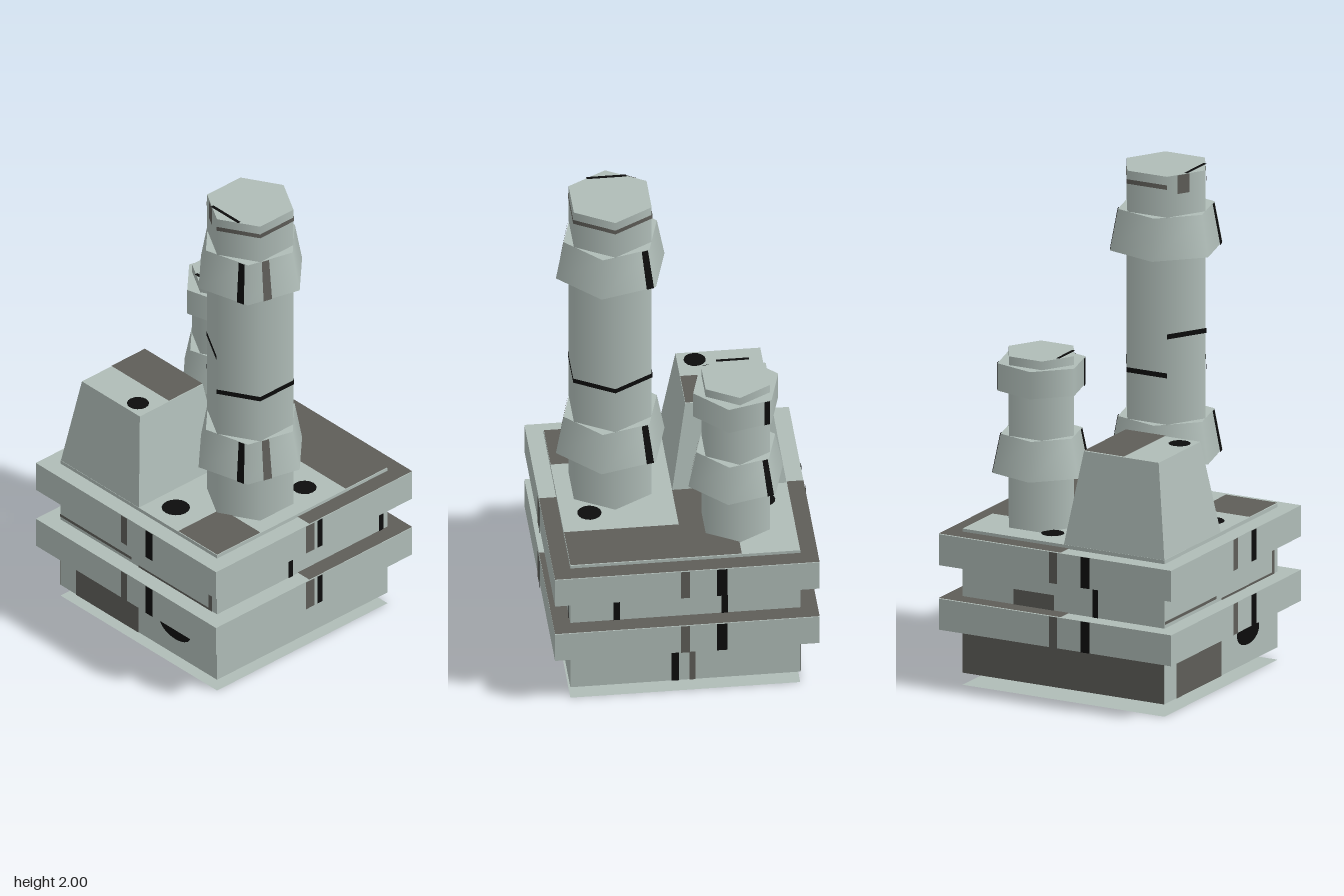
import * as THREE from 'three';

const mat = (name, color, side = THREE.FrontSide) => {
  const m = new THREE.MeshStandardMaterial({ color, side });
  m.name = name;
  return m;
};

export function createModel() {
  const root = new THREE.Group();
  root.name = 'factory';
  const light = mat('paleConcrete', 0xafbcb7, THREE.DoubleSide);
  const dark = mat('darkGrey', 0x5e5d58, THREE.DoubleSide);
  const black = mat('black', 0x0c0c0c, THREE.DoubleSide);

  const add = (parent, name, geo, m, x = 0, y = 0, z = 0) => {
    const mesh = new THREE.Mesh(geo, m);
    mesh.name = name;
    mesh.position.set(x, y, z);
    parent.add(mesh);
    return mesh;
  };
  const block = (name, w, y0, y1, m = light) =>
    add(root, name, new THREE.BoxGeometry(w, y1 - y0, w), m, 0, (y0 + y1) / 2, 0);
  // horizontal painted panel
  const floorPanel = (name, x0, x1, z0, z1, y, m) =>
    add(root, name, new THREE.PlaneGeometry(x1 - x0, z1 - z0).rotateX(-Math.PI / 2), m,
      (x0 + x1) / 2, y, (z0 + z1) / 2);
  const spot = (name, r, x, y, z) =>
    add(root, name, new THREE.CircleGeometry(r, 16).rotateX(-Math.PI / 2), black, x, y, z);

  // stepped building
  add(root, 'groundPlate', new THREE.PlaneGeometry(0.895, 0.895).rotateX(-Math.PI / 2), light);
  block('lowerWall', 0.895, 0.05, 0.23);
  block('lowerLedge', 1.03, 0.23, 0.355);
  block('upperWall', 0.895, 0.355, 0.49);
  block('upperLedge', 1.03, 0.49, 0.615);
  block('roofDeck', 0.895, 0.615, 0.63);

  // dark rear half of each ledge top
  for (const y of [0.358, 0.618]) {
    floorPanel('ledgeRear', -0.515, 0.515, -0.515, -0.448, y, dark);
    for (const s of [-1, 1]) {
      const a = s * 0.448, b = s * 0.515;
      floorPanel('ledgeSide', Math.min(a, b), Math.max(a, b), -0.448, 0.025, y, dark);
    }
  }
  // roof paint
  floorPanel('roofPaintMiddle', -0.22, 0, -0.447, 0, 0.633, dark);
  floorPanel('roofPaintRear', 0, 0.447, -0.447, -0.228, 0.633, dark);
  floorPanel('roofPaintCorner', 0.225, 0.447, 0.22, 0.447, 0.633, dark);
  spot('roofSpot', 0.055, 0.1, 0.635, 0.345);
  spot('roofSpot', 0.047, 0.335, 0.635, -0.115);
  spot('roofSpot', 0.045, -0.345, 0.635, -0.105);

  // painted wall details, one group per face: front, +x, rear, -x
  for (let i = 0; i < 4; i++) {
    const face = new THREE.Group();
    face.name = 'wallPaint' + i;
    face.rotation.y = i * Math.PI / 2;
    root.add(face);
    const paint = (name, u0, u1, y0, y1, d, m) =>
      add(face, name, new THREE.PlaneGeometry(u1 - u0, y1 - y0), m, (u0 + u1) / 2, (y0 + y1) / 2, d);
    const [g0, g1, b0, b1] = i === 1 ? [-0.045, 0, 0.015, 0.042] : [-0.025, 0.01, 0.115, 0.155];
    for (const y of [0.23, 0.49]) {
      paint('ledgeGreyStripe', g0, g1, y, y + 0.125, 0.518, dark);
      paint('ledgeBlackStripe', b0, b1, y, y + 0.125, 0.518, black);
    }
    if (i === 0) {
      paint('door', -0.355, 0, 0.05, 0.23, 0.45, dark);
      add(face, 'vent', new THREE.CircleGeometry(0.052, 20).scale(1.7, 1, 1), black, 0.21, 0.176, 0.45);
      paint('wallLine', -0.447, -0.04, 0.37, 0.382, 0.45, dark);
      paint('wallLine', 0, 0.42, 0.355, 0.364, 0.45, dark);
      paint('wallStripe', -0.058, -0.036, 0.455, 0.49, 0.45, black);
      paint('wallStripe', 0.4, 0.42, 0.36, 0.49, 0.45, dark);
    } else if (i === 3) {
      paint('darkWall', -0.447, 0.447, 0.05, 0.23, 0.45, dark);
      paint('wallPatch', -0.22, -0.04, 0.355, 0.42, 0.45, dark);
      paint('wallStripe', 0.13, 0.155, 0.355, 0.49, 0.45, black);
    } else {
      paint('wallStripe', i === 1 ? -0.075 : -0.28, i === 1 ? -0.052 : -0.255, 0.355, 0.49, 0.45, black);
      paint('wallStripe', i === 1 ? 0.4 : 0.14, i === 1 ? 0.425 : 0.165, 0.355, 0.49, 0.45, black);
      if (i === 2) {
        paint('lowerStripe', -0.055, -0.025, 0.05, 0.23, 0.45, black);
        paint('lowerStripe', 0.015, 0.04, 0.05, 0.23, 0.45, dark);
      }
    }
  }

  // tapered tower on the front corner
  const towerGeo = new THREE.BoxGeometry(0.447, 0.375, 0.447);
  const p = towerGeo.attributes.position;
  for (let i = 0; i < p.count; i++) {
    if (p.getY(i) > 0) p.setXYZ(i, p.getX(i) * 0.74, p.getY(i), p.getZ(i) * 0.74);
  }
  towerGeo.computeVertexNormals();
  add(root, 'tower', towerGeo, light, -0.2235, 0.8125, 0.2235);
  floorPanel('towerTopPaint', -0.388, -0.059, 0.059, 0.235, 1.003, dark);
  spot('towerSpot', 0.043, -0.127, 1.004, 0.335);

  // six-sided chimneys with turned collars
  const SIDE = Math.PI / 3, TURN = -Math.PI / 12;
  const chimney = (name, x, z, r, top, collars) => {
    const g = new THREE.Group();
    g.name = name;
    g.position.set(x, 0, z);
    root.add(g);
    add(g, 'pipe', new THREE.CylinderGeometry(r, r, top - 0.625, 6), light, 0, (top + 0.625) / 2, 0);
    // bar across the cap near its front corner
    const w = (r * 0.27) * Math.sqrt(3) * 1.9;
    add(g, 'capBar', new THREE.PlaneGeometry(w, 0.014).rotateX(-Math.PI / 2), black, 0, top + 0.002, r * 0.74);
    for (const [rt, rb, y0, y1] of collars) {
      add(g, 'collar', new THREE.CylinderGeometry(rt, rb, y1 - y0, 6, 1, false, TURN), light, 0, (y0 + y1) / 2, 0);
      // stripe on one flat side, from fraction t0 to t1 of its width
      const stripe = (k, t0, t1, m) => {
        const corner = (t, rr, y) => {
          const a = TURN + k * SIDE, R = rr + 0.004;
          const A = new THREE.Vector3(Math.sin(a) * R, y, Math.cos(a) * R);
          const B = new THREE.Vector3(Math.sin(a + SIDE) * R, y, Math.cos(a + SIDE) * R);
          return A.lerp(B, t);
        };
        const geo = new THREE.BufferGeometry().setFromPoints(
          [corner(t0, rb, y0), corner(t1, rb, y0), corner(t1, rt, y1), corner(t0, rt, y1)]);
        geo.setIndex([0, 1, 2, 0, 2, 3]);
        geo.computeVertexNormals();
        add(g, 'collarStripe', geo, m);
      };
      stripe(0, 0.78, 0.92, black);
      stripe(1, 0.3, 0.46, dark);
      stripe(3, 0.82, 0.95, black);
    }
    // thin band on a run of pipe sides
    return (k, n, y, h, m) => add(g, 'pipeBand',
      new THREE.CylinderGeometry(r + 0.003, r + 0.003, h, n, 1, true, k * SIDE, n * SIDE), m, 0, y, 0);
  };

  const tallBand = chimney('tallChimney', 0.232, 0.075, 0.175, 2, [
    [0.194, 0.226, 0.835, 1.0],
    [0.194, 0.226, 1.67, 1.835],
  ]);
  tallBand(0, 5, 1.198, 0.02, black);
  tallBand(5, 1, 1.355, 0.02, black);
  tallBand(0, 5, 1.957, 0.018, dark);
  // small mark on the tall pipe's front left side
  const mark = add(root, 'pipeMark', new THREE.PlaneGeometry(0.055, 0.075), dark, 0.142, 1.962, 0.202);
  mark.rotation.y = -SIDE / 2;

  chimney('shortChimney', -0.222, -0.224, 0.145, 1.32, [
    [0.164, 0.197, 0.845, 1.0],
    [0.177, 0.177, 1.175, 1.285],
  ]);
  return root;
}
